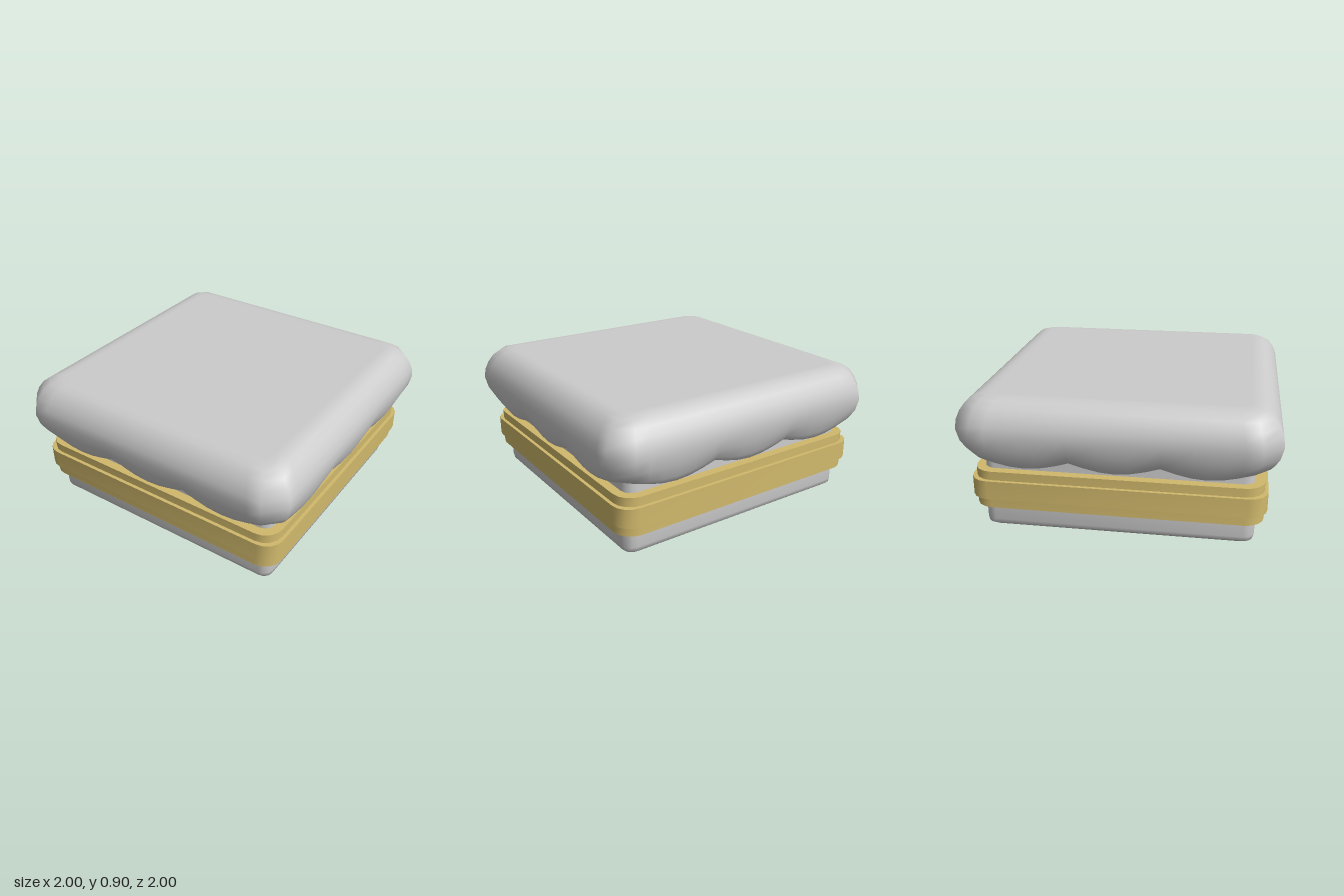
import * as THREE from 'three';
import { toCreasedNormals } from 'three/addons/utils/BufferGeometryUtils.js';

// One square ring with cut or rounded corners. Returns [x, z, t], t = -1..1 along each side.
function squareRing(half, corner, cornerSegs, sideSegs) {
  const pts = [];
  const flat = half - corner;
  for (let side = 0; side < 4; side++) {
    const turn = side * Math.PI / 2;
    const add = (u, v, t) => pts.push([
      u * Math.cos(turn) - v * Math.sin(turn),
      -(u * Math.sin(turn) + v * Math.cos(turn)), t]);
    for (let i = 0; i <= sideSegs; i++) {
      const t = -1 + 2 * i / sideSegs;
      add(half, flat * t, t);
    }
    for (let i = 1; i < cornerSegs; i++) {
      const a = i / cornerSegs * Math.PI / 2;
      add(flat + corner * Math.cos(a), flat + corner * Math.sin(a), 1);
    }
  }
  return pts;
}

// Joins rings given as [half width, y, corner size, scallop weight]; closes both ends.
function loft(rows, cornerSegs, sideSegs, crease, scallop = 0) {
  const pos = [], index = [];
  let n = 0;
  for (const [half, y, corner, weight = 0] of rows) {
    const ring = squareRing(half, corner, cornerSegs, sideSegs);
    n = ring.length;
    for (const [x, z, t] of ring) {
      const lift = scallop * weight * (1 - Math.abs(Math.cos(1.5 * Math.PI * t)));
      pos.push(x, y + lift, z);
    }
  }
  const last = rows.length - 1;
  pos.push(0, rows[0][1], 0, 0, rows[last][1], 0);
  const bottom = rows.length * n, top = bottom + 1;
  for (let j = 0; j < n; j++) {
    const k = (j + 1) % n;
    for (let i = 0; i < last; i++) {
      const a = i * n + j, b = i * n + k;
      index.push(a, b, b + n, a, b + n, a + n);
    }
    index.push(bottom, k, j, top, last * n + j, last * n + k);
  }
  const geo = new THREE.BufferGeometry();
  geo.setAttribute('position', new THREE.Float32BufferAttribute(pos, 3));
  geo.setIndex(index);
  return toCreasedNormals(geo, crease);
}

export function createModel() {
  const group = new THREE.Group();
  const grey = new THREE.MeshStandardMaterial({ color: 0xcccccc });
  const gold = new THREE.MeshStandardMaterial({ color: 0xd1b96c });
  const add = (name, geo, mat) => {
    const mesh = new THREE.Mesh(geo, mat);
    mesh.name = name;
    group.add(mesh);
  };

  // Square body with a softened lower edge
  add('body', loft([
    [0.77, 0, 0.03], [0.83, 0.012, 0.05], [0.853, 0.03, 0.06], [0.86, 0.06, 0.07],
    [0.86, 0.2, 0.07], [0.85, 0.4, 0.07], [0.85, 0.58, 0.07],
  ], 3, 1, 0.9), grey);

  // Three stepped trim bands
  const bands = [
    ['lowerBand', 0.912, 0.17, 0.235],
    ['middleBand', 0.93, 0.235, 0.36],
    ['upperBand', 0.908, 0.36, 0.418],
  ];
  for (const [name, half, y0, y1] of bands) {
    add(name, loft([[half, y0, 0.12], [half, y1, 0.12]], 4, 1, 0.6), gold);
  }

  // Puffy cap: up from the hidden ceiling, down the inner wall, round the scalloped rim and over
  add('scallopedCap', loft([
    [0.862, 0.56, 0.07], [0.865, 0.462, 0.07, 1], [0.9, 0.455, 0.08, 1],
    [0.928, 0.465, 0.09, 1], [0.952, 0.505, 0.1, 0.8], [0.982, 0.59, 0.11, 0.3],
    [1, 0.685, 0.12], [0.992, 0.745, 0.12], [0.97, 0.8, 0.11], [0.935, 0.85, 0.09],
    [0.89, 0.885, 0.07], [0.84, 0.9, 0.05], [0.8, 0.9, 0.04],
  ], 1, 18, 1.1, 0.055), grey);

  return group;
}
